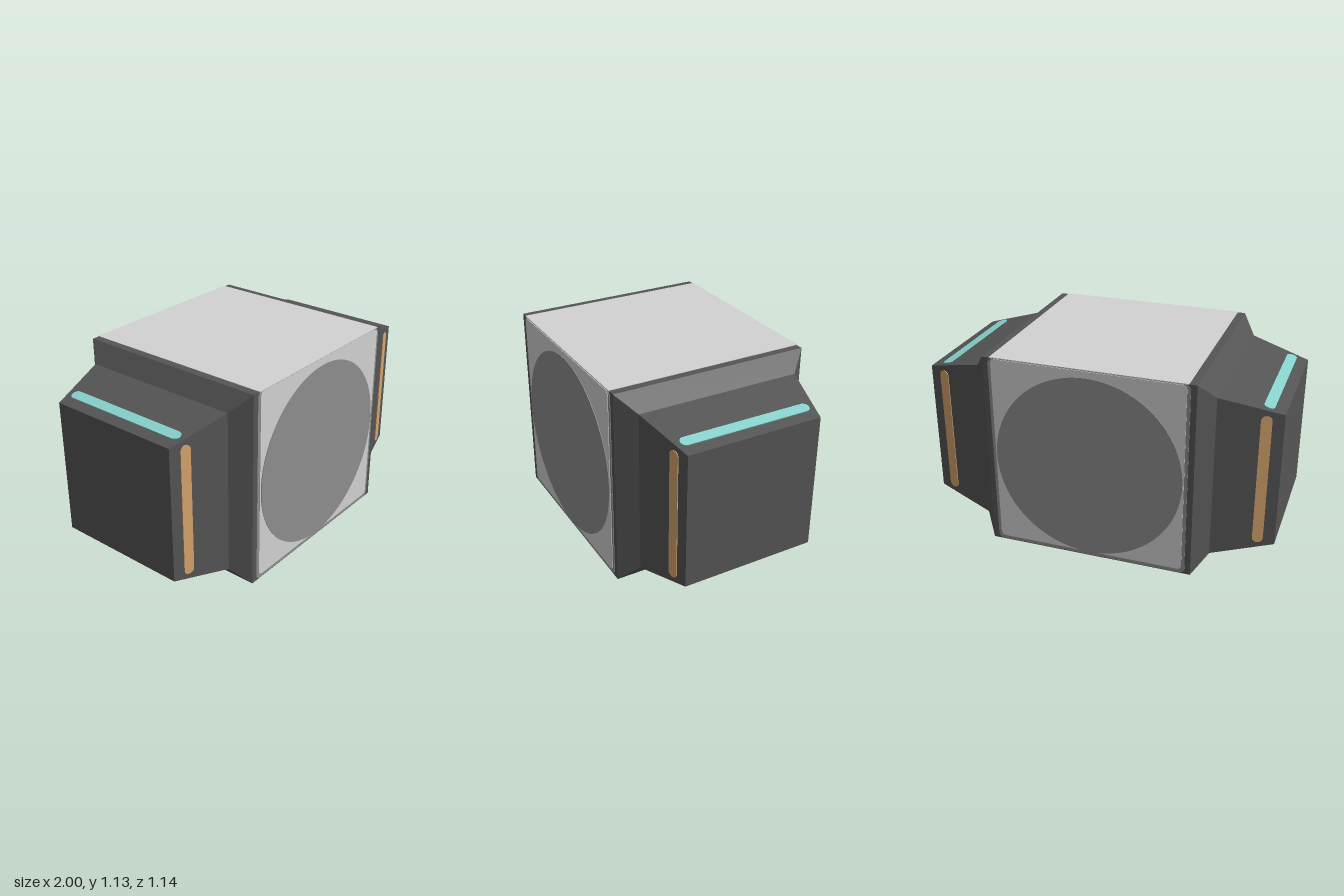
import * as THREE from 'three';

const mat = (name, color) => {
  const m = new THREE.MeshStandardMaterial({ color });
  m.name = name;
  return m;
};

// Rounded rectangle centred on the origin
function roundedRect(w, h, r) {
  const x = w / 2, y = h / 2, s = new THREE.Shape();
  s.moveTo(-x + r, -y);
  s.lineTo(x - r, -y);
  s.absarc(x - r, -y + r, r, -Math.PI / 2, 0);
  s.lineTo(x, y - r);
  s.absarc(x - r, y - r, r, 0, Math.PI / 2);
  s.lineTo(-x + r, y);
  s.absarc(-x + r, y - r, r, Math.PI / 2, Math.PI);
  s.lineTo(-x, -y + r);
  s.absarc(-x + r, -y + r, r, Math.PI, Math.PI * 1.5);
  return s;
}

export function createModel() {
  const dark = mat('dark casing', 0x555555);
  const light = mat('light panel', 0xd2d2d2);
  const grey = mat('mid grey', 0x8e8e8e);
  const orange = mat('orange strip', 0xd8a56e);
  const cyan = mat('cyan strip', 0x88d4ce);

  const model = new THREE.Group();
  model.name = 'block';
  const CY = 0.565, HALF = 0.562;

  const add = (parent, name, geometry, material, x = 0, y = 0, z = 0) => {
    const mesh = new THREE.Mesh(geometry, material);
    mesh.name = name;
    mesh.position.set(x, y, z);
    parent.add(mesh);
    return mesh;
  };
  const plate = (shape, depth) =>
    new THREE.ExtrudeGeometry(shape, { depth, bevelEnabled: false, curveSegments: 10 });

  // Square casing: core, shoulders and tapered ends along x
  const profile = [
    [0, -1], [0.385, -1], [0.465, -0.665], [HALF, -0.585],
    [HALF, 0.585], [0.465, 0.665], [0.385, 1], [0, 1],
  ].map(([h, x]) => new THREE.Vector2(h * Math.SQRT2, x));
  const casing = new THREE.LatheGeometry(profile, 4, Math.PI / 4).toNonIndexed();
  casing.rotateZ(-Math.PI / 2);
  casing.computeVertexNormals();
  add(model, 'casing', casing, dark, 0, CY, 0);

  // Light lid on top
  add(model, 'topPanel', new THREE.BoxGeometry(1.085, 0.006, 1.13), light, 0, CY + HALF, 0);

  // Front and back: grey frame, light panel and round disc
  for (const [name, turn] of [['front', 0], ['back', Math.PI]]) {
    const face = new THREE.Group();
    face.name = name + 'Face';
    face.rotation.y = turn;
    add(face, name + 'Frame', plate(roundedRect(1.106, 1.114, 0.03), 0.004), grey, 0, CY, HALF - 0.001);
    add(face, name + 'Panel', plate(roundedRect(1.07, 1.092, 0.025), 0.003), light, 0, 0.576, HALF + 0.003);
    const disc = new THREE.Shape().absarc(0, 0, 0.528, 0, Math.PI * 2);
    add(face, name + 'Disc', new THREE.ExtrudeGeometry(disc, { depth: 0.003, bevelEnabled: false, curveSegments: 48 }),
      grey, 0, 0.558, HALF + 0.006);
    model.add(face);
  }

  // Coloured strips on the four sloping faces of each end
  const slope = Math.atan2(0.08, 0.335);
  for (const side of [-1, 1]) {
    for (let i = 0; i < 4; i++) {
      const holder = new THREE.Group();
      holder.name = (side > 0 ? 'left' : 'right') + 'Strip' + (i + 1);
      holder.position.y = CY;
      holder.rotation.x = i * Math.PI / 2;
      const strip = add(holder, 'strip', plate(roundedRect(0.058, 0.75, 0.028), 0.006),
        i % 2 ? cyan : orange, side * 0.91, 0, 0.4045);
      strip.rotation.y = side * slope;
      model.add(holder);
    }
  }
  return model;
}
